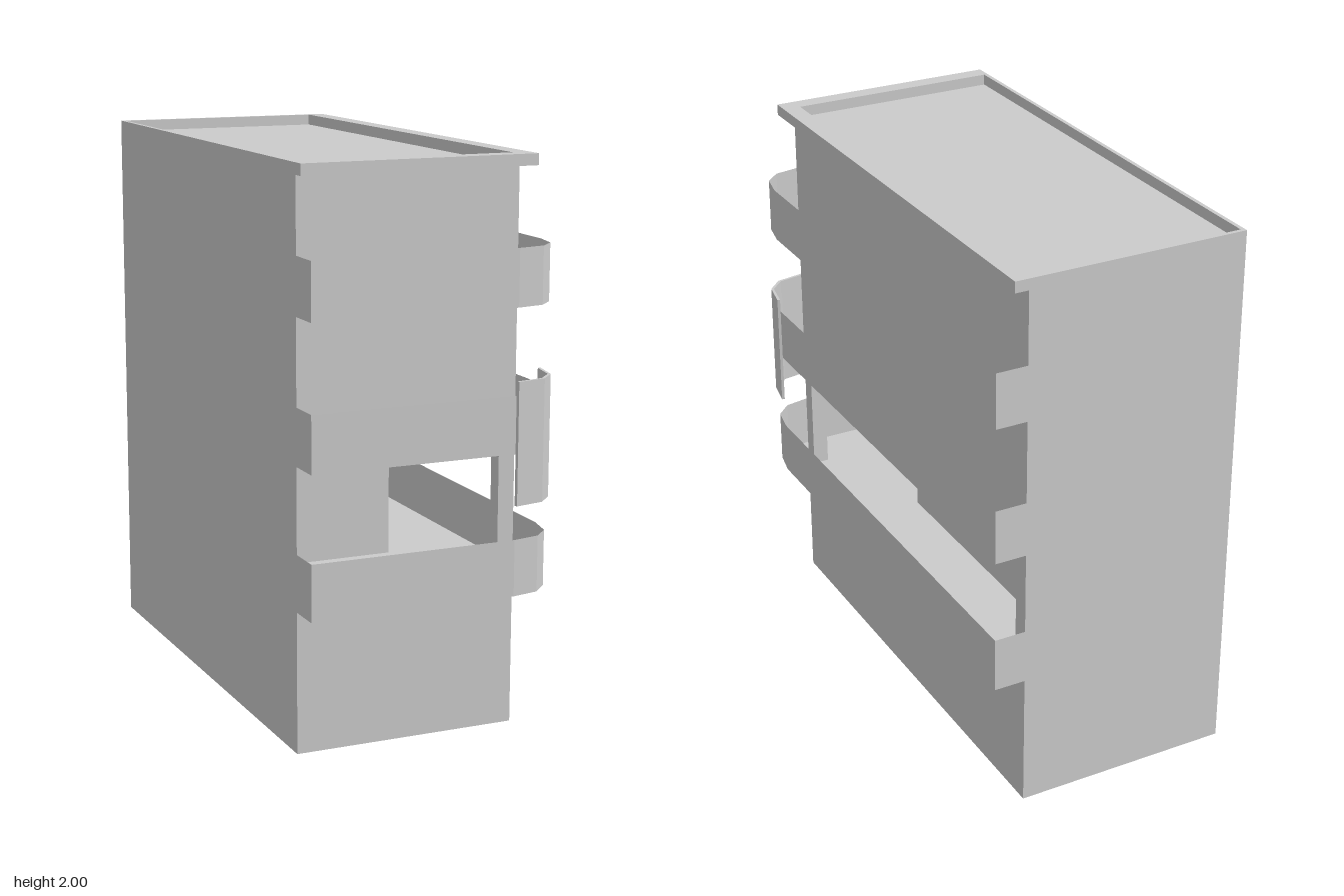
import * as THREE from 'three';

const material = new THREE.MeshStandardMaterial({ color: 0xcccccc, flatShading: true, side: THREE.DoubleSide });

// Main plan dimensions
const LEFT = -0.47, RIGHT = 0.34, FRONT = 0.83, BACK = -0.96, BACK_IN = -0.895;

function mesh(name, geometry) {
  const m = new THREE.Mesh(geometry, material);
  m.name = name;
  return m;
}

// Box given by its limits on each axis
function box(name, x0, x1, y0, y1, z0, z1) {
  const g = new THREE.BoxGeometry(x1 - x0, y1 - y0, z1 - z0);
  g.translate((x0 + x1) / 2, (y0 + y1) / 2, (z0 + z1) / 2);
  return mesh(name, g);
}

// Thin upright wall following a plan path of [x, z] points
function wall(name, path, y0, y1) {
  const positions = [];
  for (let i = 0; i < path.length - 1; i++) {
    const [ax, az] = path[i], [bx, bz] = path[i + 1];
    positions.push(ax, y0, az, bx, y0, bz, bx, y1, bz, ax, y0, az, bx, y1, bz, ax, y1, az);
  }
  const g = new THREE.BufferGeometry();
  g.setAttribute('position', new THREE.Float32BufferAttribute(positions, 3));
  g.computeVertexNormals();
  return mesh(name, g);
}

// Plan outlines are [x, z]; the rotation lays them flat with +z towards the front
const toPoints = (plan) => plan.map(([x, z]) => new THREE.Vector2(x, -z));

function slab(name, plan, y0, y1, hole) {
  const shape = new THREE.Shape(toPoints(plan));
  if (hole) shape.holes.push(new THREE.Path(toPoints(hole)));
  const g = new THREE.ExtrudeGeometry(shape, { depth: y1 - y0, bevelEnabled: false });
  g.rotateX(-Math.PI / 2).translate(0, y0, 0);
  return mesh(name, g);
}

function sheet(name, plan, y) {
  const g = new THREE.ShapeGeometry(new THREE.Shape(toPoints(plan)));
  g.rotateX(-Math.PI / 2).translate(0, y, 0);
  return mesh(name, g);
}

const rect = (x0, x1, z0, z1) => [[x0, z0], [x1, z0], [x1, z1], [x0, z1]];

export function createModel() {
  const building = new THREE.Group();
  building.name = 'building';

  // Body: open-bottomed ground floor, recessed first floor, solid upper floors
  building.add(
    box('backWall', LEFT, RIGHT, 0, 1.96, BACK, BACK_IN),
    wall('groundFloorWalls', [[LEFT, BACK_IN], [LEFT, FRONT], [RIGHT, FRONT], [RIGHT, BACK_IN]], 0, 0.5),
    box('recessedRoom', LEFT, 0.115, 0.5, 1, BACK_IN, 0.295),
    wall('recessSideWall', [[LEFT, 0.295], [LEFT, FRONT]], 0.5, 1),
    box('cornerPillar', 0.28, RIGHT, 0.5, 1, 0.775, FRONT),
    box('upperFloors', LEFT, RIGHT, 1, 1.96, BACK_IN, FRONT)
  );

  // Balconies wrapping the front and right with a faceted corner
  const balconyEdge = [
    [LEFT, FRONT], [LEFT, 0.955], [0.28, 0.955], [0.38, 0.935],
    [0.435, 0.88], [0.455, 0.78], [0.455, BACK], [RIGHT, BACK]
  ];
  const floorPlan = [[LEFT, BACK], ...balconyEdge.slice(1, 7)];
  for (const y of [0.5, 1, 1.5]) {
    const balcony = new THREE.Group();
    balcony.name = 'balcony';
    balcony.add(sheet('balconyFloor', floorPlan, y), wall('balconyParapet', balconyEdge, y, y + 0.2));
    building.add(balcony);
  }

  // Corner panel bent around the middle balcony
  building.add(slab('cornerPanel', [
    [0.277, 0.955], [0.281, 0.965], [0.39, 0.943], [0.445, 0.885], [0.466, 0.777],
    [0.456, 0.774], [0.436, 0.88], [0.384, 0.934]
  ], 0.82, 1.25));

  // Roof rim with a sunken roof inside
  building.add(slab('roofRim', rect(LEFT, 0.39, BACK, 0.87), 1.96, 2, rect(-0.455, 0.325, -0.945, 0.807)));

  return building;
}
